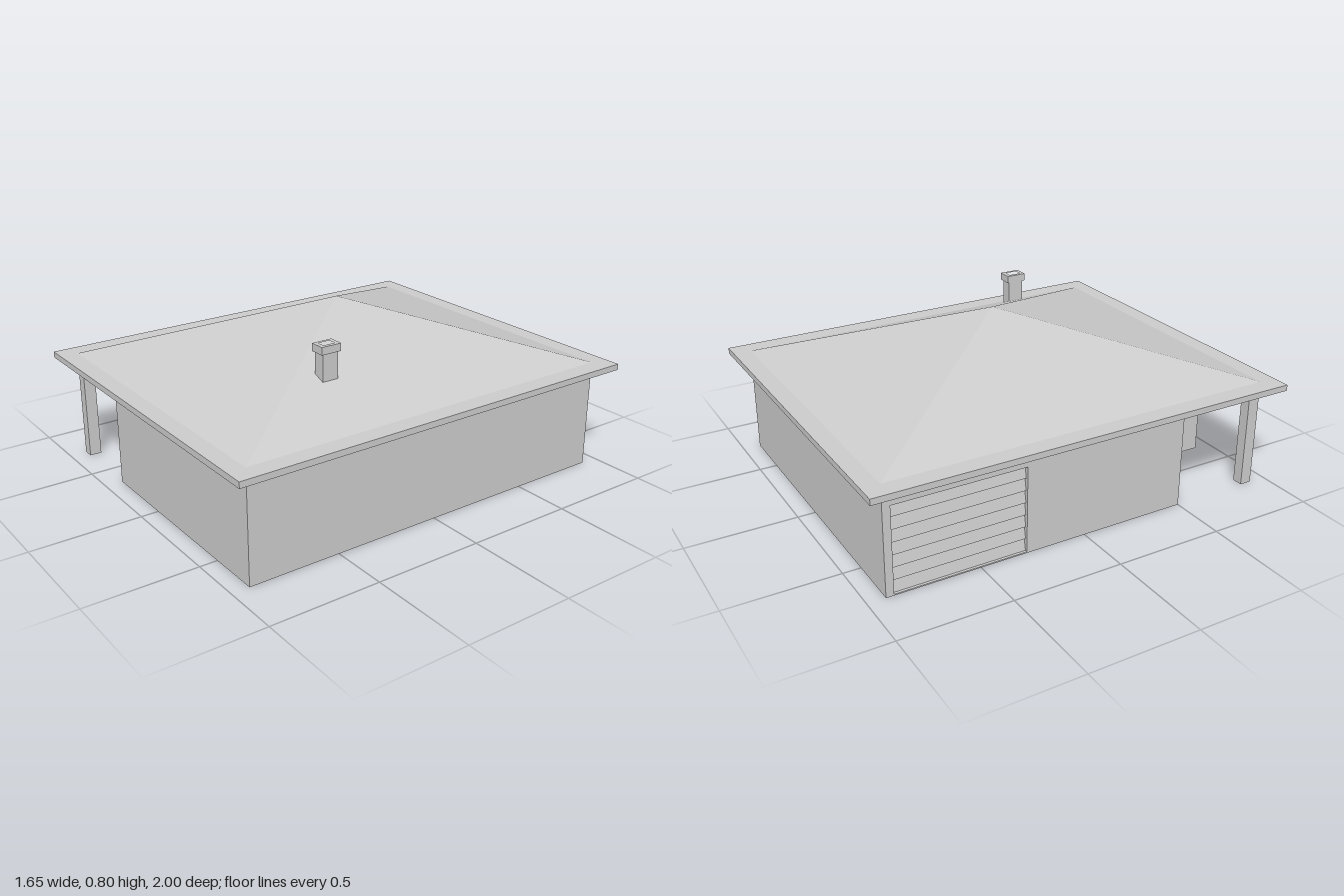
import * as THREE from 'three';

const mat = new THREE.MeshStandardMaterial({ color: 0xcccccc, flatShading: true });
const matDouble = new THREE.MeshStandardMaterial({ color: 0xcccccc, flatShading: true, side: THREE.DoubleSide });

function add(parent, name, geo, material = mat) {
  const mesh = new THREE.Mesh(geo, material);
  mesh.name = name;
  parent.add(mesh);
  return mesh;
}

// Box given by its minimum and maximum corners
function box(x0, x1, y0, y1, z0, z1) {
  return new THREE.BoxGeometry(x1 - x0, y1 - y0, z1 - z0)
    .translate((x0 + x1) / 2, (y0 + y1) / 2, (z0 + z1) / 2);
}

// Closed outline from [x, y] pairs
const outline = (pts) => new THREE.Shape(pts.map(([x, y]) => new THREE.Vector2(x, y)));
const rect = (x0, x1, y0, y1) => [[x0, y0], [x1, y0], [x1, y1], [x0, y1]];

// Plan outline of [x, z] pairs raised from y0 to y1, with an optional hole
function raise(pts, y0, y1, hole) {
  const shape = outline(pts.map(([x, z]) => [x, -z]));
  if (hole) shape.holes.push(outline(hole.map(([x, z]) => [x, -z])));
  return new THREE.ExtrudeGeometry(shape, { depth: y1 - y0, bevelEnabled: false })
    .rotateX(-Math.PI / 2).translate(0, y0, 0);
}

const W = 0.74, D = 0.92;              // half width and half depth of the walls
const EAVE = 0.475, ROOF = 0.503;      // underside and top of the roof slab
const PORCH_X = -0.35, PORCH_Z = 0.5;  // inner corner of the porch
const OPEN = 0.4, SILL = 0.006;        // head and floor of the door openings
const DOOR = { x0: -0.66, x1: -0.45, depth: 0.035 };
const GARAGE = { z0: -0.885, z1: -0.285, depth: 0.025 };

function walls() {
  const g = new THREE.Group();
  g.name = 'walls';
  const plan = [[-W, PORCH_Z], [PORCH_X, PORCH_Z], [PORCH_X, D], [W, D], [W, -D], [-W, -D]];
  // Middle storey carries the recesses for the front door and the garage door
  const notched = [
    [-W, PORCH_Z],
    [DOOR.x0, PORCH_Z], [DOOR.x0, PORCH_Z - DOOR.depth],
    [DOOR.x1, PORCH_Z - DOOR.depth], [DOOR.x1, PORCH_Z],
    [PORCH_X, PORCH_Z], [PORCH_X, D], [W, D], [W, -D], [-W, -D],
    [-W, GARAGE.z0], [-W + GARAGE.depth, GARAGE.z0],
    [-W + GARAGE.depth, GARAGE.z1], [-W, GARAGE.z1],
  ];
  add(g, 'floorSlab', raise(plan, 0, SILL));
  add(g, 'mainWalls', raise(notched, SILL, OPEN));
  add(g, 'upperWalls', raise(plan, OPEN, EAVE));
  return g;
}

function roof() {
  const g = new THREE.Group();
  g.name = 'roof';
  add(g, 'eavesSlab', box(-0.825, 0.825, EAVE, ROOF, -1, 1));
  // Four-sided hip with its peak slightly towards the back
  const h = 0.292;
  const hip = new THREE.ConeGeometry(Math.SQRT1_2, h, 4, 1, true)
    .rotateY(Math.PI / 4).scale(2 * W, 1, 2 * D).translate(0, h / 2, 0);
  const p = hip.attributes.position;
  for (let i = 0; i < p.count; i++) if (p.getY(i) > h / 2) p.setZ(i, p.getZ(i) - 0.025);
  hip.translate(0, ROOF, 0).computeVertexNormals();
  add(g, 'hipRoof', hip);
  return g;
}

function chimney() {
  const g = new THREE.Group();
  g.name = 'chimney';
  const flue = rect(0.412, 0.447, 0.31, 0.365);
  add(g, 'chimneyShaft', raise(rect(0.402, 0.456, 0.3, 0.375), 0.6, 0.72));
  add(g, 'chimneyNeck', raise(rect(0.402, 0.456, 0.3, 0.375), 0.72, 0.735, flue));
  add(g, 'chimneyCap', raise(rect(0.396, 0.464, 0.29, 0.385), 0.735, 0.769, flue));
  return g;
}

function frontDoor() {
  const g = new THREE.Group();
  g.name = 'frontDoor';
  const back = PORCH_Z - DOOR.depth, face = back + 0.016, floor = back + 0.004;
  const x0 = DOOR.x0 + 0.01;
  const panels = [[0.04, 0.165], [0.235, 0.36]];
  const px0 = -0.615, px1 = -0.49;

  // Leaf with two panel openings
  const leaf = outline(rect(x0, DOOR.x1, SILL, OPEN));
  for (const [a, b] of panels) leaf.holes.push(outline(rect(px0, px1, a, b)));
  add(g, 'doorLeaf', new THREE.ExtrudeGeometry(leaf, { depth: face - back, bevelEnabled: false }).translate(0, 0, back));

  // Sloping moulding around each sunken panel
  for (const [a, b] of panels) {
    const w = px1 - px0, h = b - a, d = face - floor;
    const tray = new THREE.CylinderGeometry(Math.SQRT1_2, Math.SQRT1_2 * 0.86, d, 4, 1, true)
      .rotateY(Math.PI / 4).rotateX(Math.PI / 2).scale(w, h, 1)
      .translate((px0 + px1) / 2, (a + b) / 2, (face + floor) / 2);
    add(g, 'panelMoulding', tray, matDouble);
    add(g, 'doorPanel', box(px0, px1, a, b, back, floor));
  }
  add(g, 'doorHandle', box(-0.495, -0.475, 0.196, 0.202, face, face + 0.008));
  return g;
}

function garageDoor() {
  // Overlapping slats, each leaning out towards its lower edge
  const n = 7, step = (OPEN - SILL) / n;
  const inner = -W + GARAGE.depth, pts = [[inner + 0.002, SILL]];
  for (let i = 0; i < n; i++) {
    const y = SILL + i * step;
    pts.push([inner - 0.013, y], [inner - 0.002, y + step]);
  }
  pts.push([inner + 0.002, OPEN]);
  return new THREE.ExtrudeGeometry(outline(pts), { depth: GARAGE.z1 - GARAGE.z0, bevelEnabled: false })
    .translate(0, 0, GARAGE.z0);
}

export function createModel() {
  const house = new THREE.Group();
  house.name = 'house';
  house.add(walls(), roof(), chimney(), frontDoor());
  add(house, 'garageDoor', garageDoor());
  add(house, 'porchPost', box(-W, -0.69, 0, EAVE, 0.865, D));
  return house;
}
